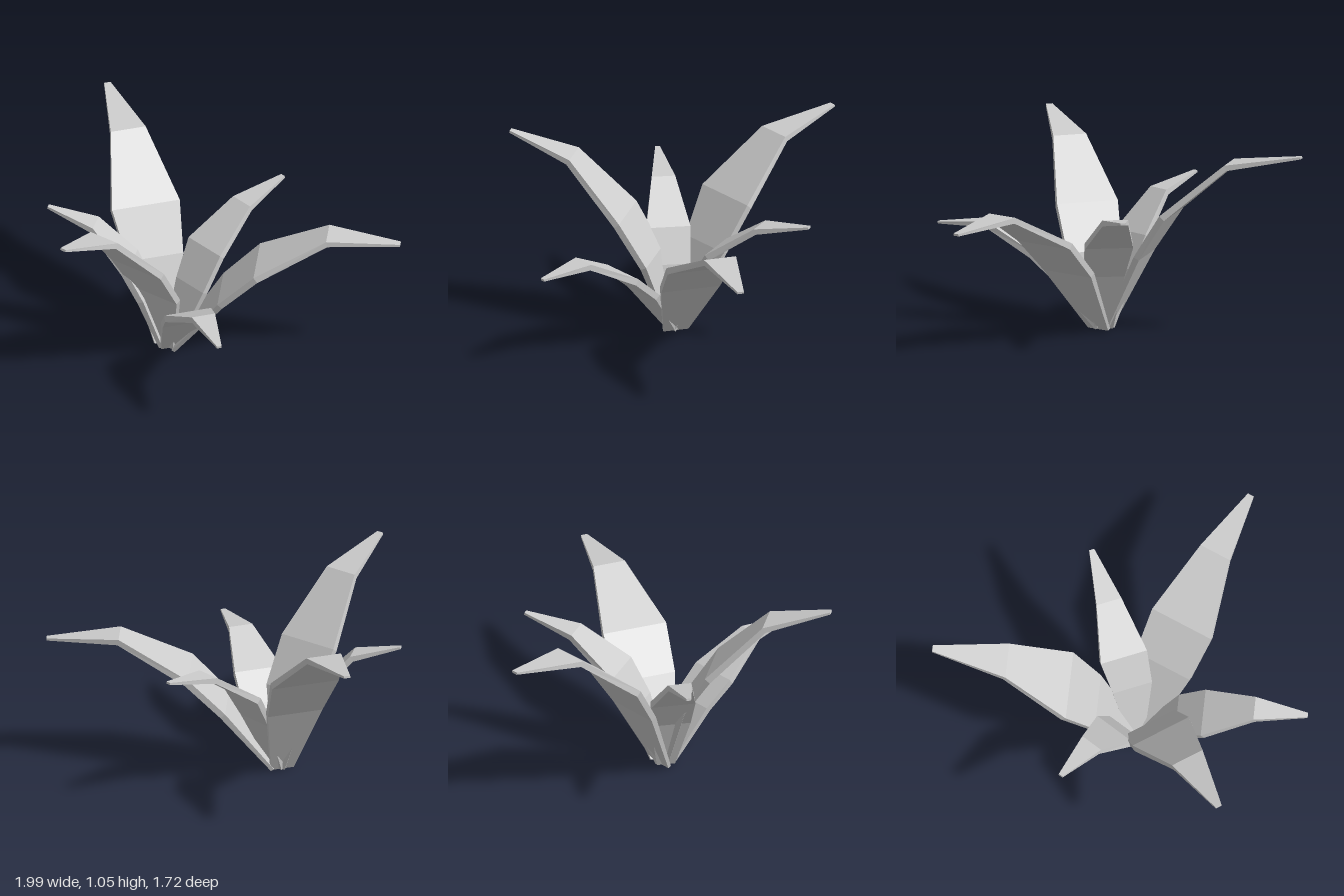
import * as THREE from 'three';

const material = new THREE.MeshStandardMaterial({ color: 0xcccccc, flatShading: true });

// Each leaf: stations from base to tip as [x, y, z, halfWidth] along its upper face.
const leaves = {
  frontLeaf: [[-0.07, 0.01, -0.05, 0.05], [-0.06, 0.4, 0.05, 0.155], [-0.07, 0.64, 0.2, 0.172], [-0.07, 0.95, 0.5, 0.093], [-0.072, 1.05, 0.855, 0.018]],
  backLeftLeaf: [[-0.05, 0.01, -0.07, 0.07], [0.165, 0.37, -0.21, 0.165], [0.335, 0.565, -0.31, 0.18], [0.655, 0.758, -0.52, 0.09], [0.988, 0.722, -0.73, 0.018]],
  backLeaf: [[-0.07, 0.01, -0.07, 0.05], [-0.03, 0.33, -0.19, 0.11], [-0.02, 0.52, -0.305, 0.13], [0.03, 0.7, -0.565, 0.07], [0.083, 0.745, -0.857, 0.014]],
  backRightLeaf: [[-0.09, 0.01, -0.065, 0.065], [-0.25, 0.43, -0.175, 0.155], [-0.38, 0.67, -0.255, 0.19], [-0.655, 0.95, -0.45, 0.098], [-0.984, 1.005, -0.686, 0.018]],
  rightLeaf: [[-0.09, 0.01, -0.05, 0.05], [-0.17, 0.32, -0.01, 0.11], [-0.255, 0.5, 0.025, 0.12], [-0.44, 0.712, 0.105, 0.064], [-0.685, 0.775, 0.207, 0.013]],
  frontLeftLeaf: [[-0.06, 0.01, -0.05, 0.05], [0.11, 0.29, 0.05, 0.12], [0.22, 0.42, 0.145, 0.132], [0.45, 0.56, 0.3, 0.066], [0.688, 0.535, 0.463, 0.013]],
};
const thickness = [0.02, 0.034, 0.036, 0.032, 0.012];

// Sweeps a thin rectangular section through the stations, closed at both ends.
function leafGeometry(stations) {
  const points = stations.map(([x, y, z]) => new THREE.Vector3(x, y, z));
  const last = points.length - 1;
  const forward = points[last].clone().sub(points[0]).setY(0).normalize();
  const side = new THREE.Vector3(-forward.z, 0, forward.x);
  const positions = [], index = [];

  points.forEach((p, i) => {
    const tangent = points[Math.min(i + 1, last)].clone().sub(points[Math.max(i - 1, 0)]);
    const normal = new THREE.Vector3()
      .addScaledVector(forward, -tangent.y)
      .setY(tangent.dot(forward)).normalize();
    for (const [s, depth] of [[1, 0], [-1, 0], [-1, 1], [1, 1]]) {
      const corner = p.clone()
        .addScaledVector(side, s * stations[i][3])
        .addScaledVector(normal, -depth * thickness[i]);
      positions.push(corner.x, Math.max(corner.y, 0), corner.z);
    }
  });

  const quad = (a, b, c, d) => index.push(a, b, c, a, c, d);
  for (let i = 0; i < last; i++) {
    for (let k = 0; k < 4; k++) {
      const a = i * 4 + k, d = i * 4 + (k + 1) % 4;
      quad(a, a + 4, d + 4, d);
    }
  }
  const t = last * 4;
  quad(0, 1, 2, 3);
  quad(t + 3, t + 2, t + 1, t);

  const geometry = new THREE.BufferGeometry();
  geometry.setAttribute('position', new THREE.Float32BufferAttribute(positions, 3));
  geometry.setIndex(index);
  geometry.computeVertexNormals();
  return geometry;
}

export function createModel() {
  const plant = new THREE.Group();
  plant.name = 'leafyPlant';
  for (const [name, stations] of Object.entries(leaves)) {
    const leaf = new THREE.Mesh(leafGeometry(stations), material);
    leaf.name = name;
    plant.add(leaf);
  }
  return plant;
}
